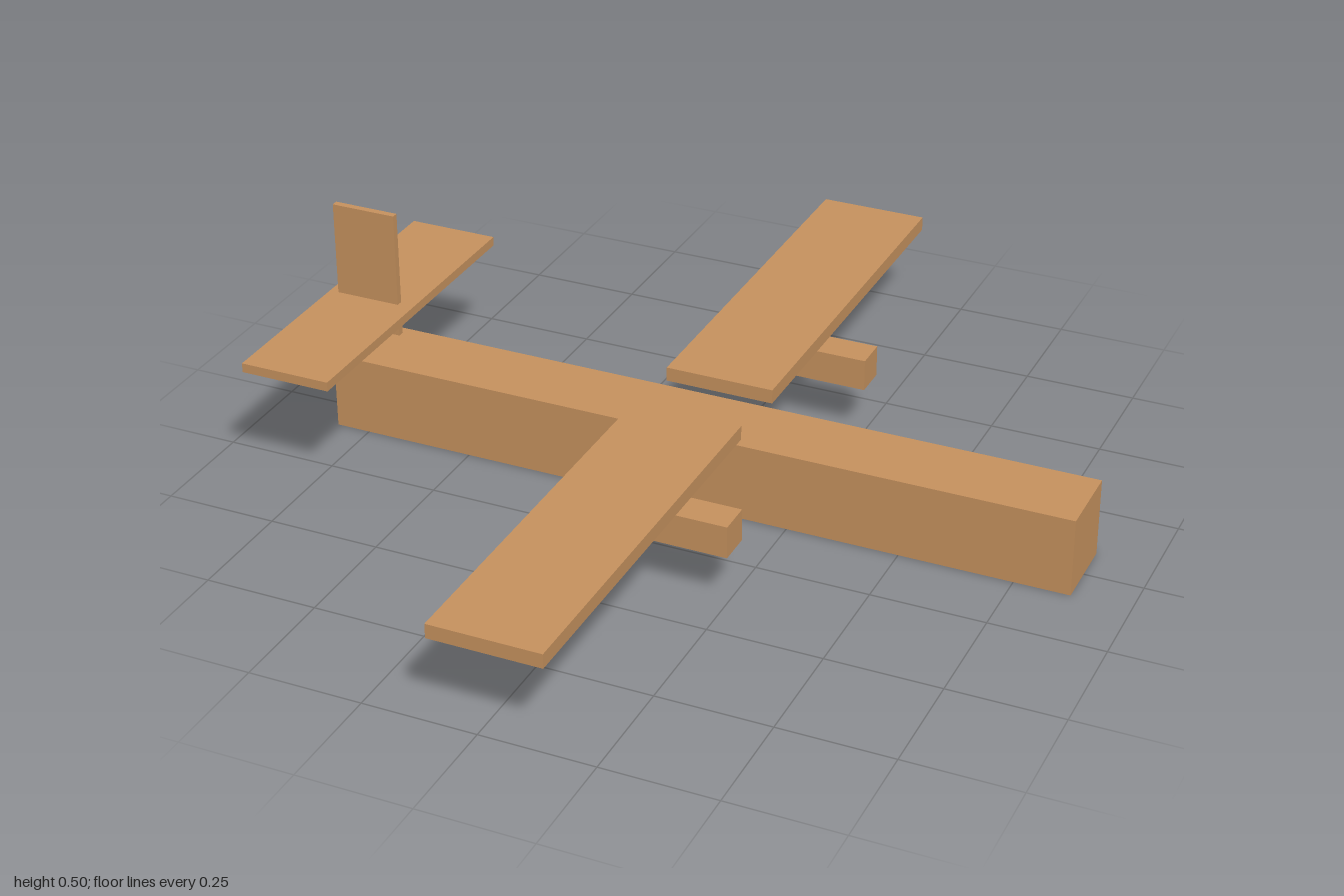
import * as THREE from 'three';

export function createModel() {
  const model = new THREE.Group();
  const wood = new THREE.MeshStandardMaterial({ color: 0xc8935f });
  wood.name = 'wood';

  // Box given by its extents along each axis
  function block(name, [x0, x1], [y0, y1], [z0, z1]) {
    const mesh = new THREE.Mesh(new THREE.BoxGeometry(x1 - x0, y1 - y0, z1 - z0), wood);
    mesh.position.set((x0 + x1) / 2, (y0 + y1) / 2, (z0 + z1) / 2);
    mesh.name = name;
    model.add(mesh);
  }

  block('fuselage', [-0.828, 0.872], [0, 0.176], [-0.087, 0.087]);

  // Wings and the engines hung beneath them, one pair per side
  for (const [side, s] of [['right', 1], ['left', -1]]) {
    const span = (a, b) => (s > 0 ? [a, b] : [-b, -a]);
    block(side + 'Wing', [-0.102, 0.144], [0.19, 0.222], span(0.083, 1));
    block(side + 'Engine', [-0.094, 0.256], [0.118, 0.19], span(0.338, 0.413));
  }

  // Tail
  block('tailplane', [-0.876, -0.67], [0.267, 0.288], [-0.375, 0.375]);
  block('tailFin', [-0.855, -0.706], [0.212, 0.502], [-0.0075, 0.0075]);

  return model;
}
